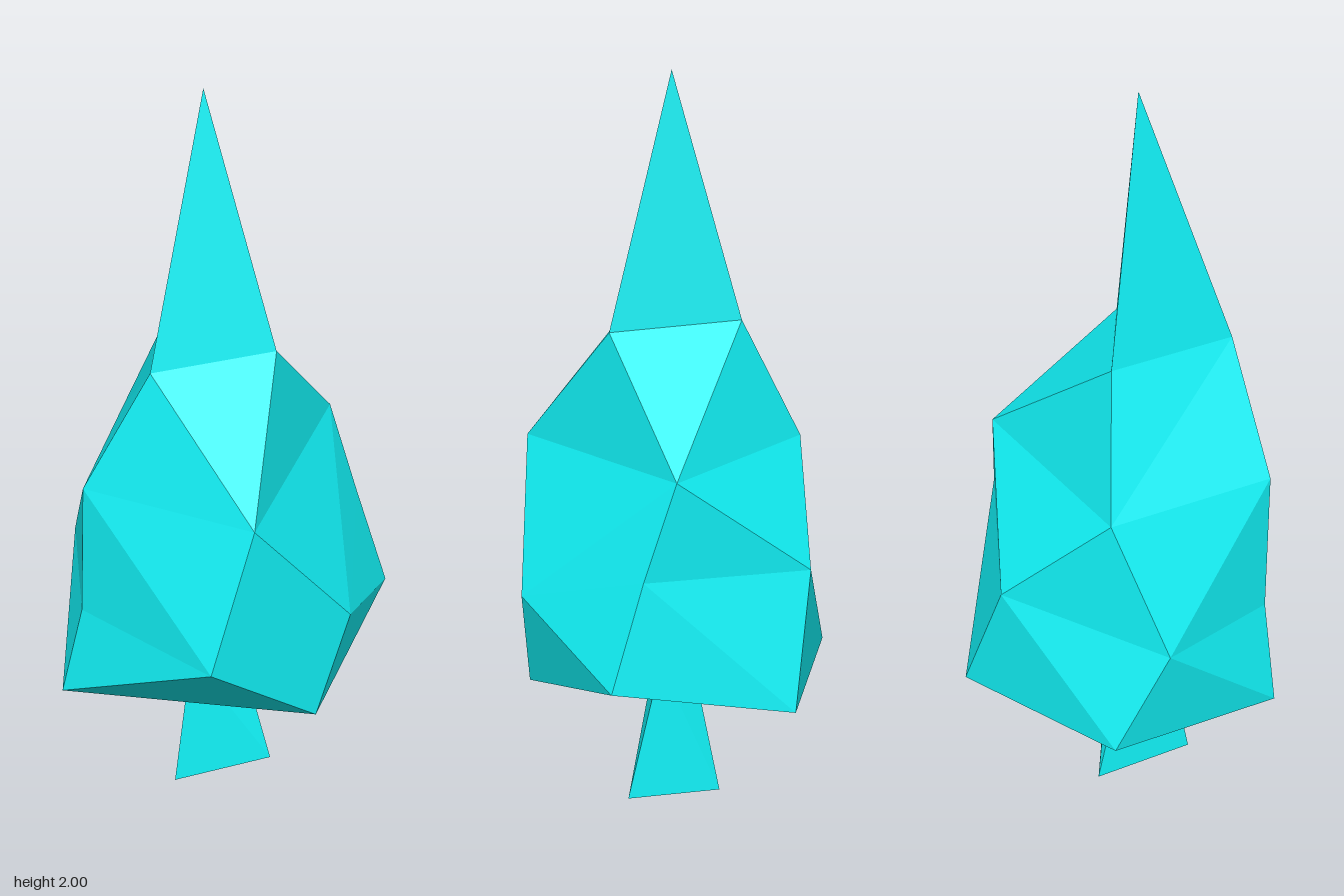
import * as THREE from 'three';

// Joins two closed rings (both running front, +x, back, -x) with triangles.
// steps: 'u' moves along the upper ring, 'l' along the lower one.
function stitch(out, upper, lower, steps) {
  let u = 0, l = 0;
  for (const s of steps) {
    const a = upper[u % upper.length], b = lower[l % lower.length];
    const c = s === 'u' ? upper[++u % upper.length] : lower[++l % lower.length];
    out.push(...a, ...b, ...c);
  }
}

function facetedMesh(name, rings, bands, material) {
  const out = [];
  bands.forEach((steps, i) => stitch(out, rings[i], rings[i + 1], steps));
  const geometry = new THREE.BufferGeometry();
  geometry.setAttribute('position', new THREE.Float32BufferAttribute(out, 3));
  geometry.computeVertexNormals();
  const mesh = new THREE.Mesh(geometry, material);
  mesh.name = name;
  return mesh;
}

export function createModel() {
  const group = new THREE.Group();
  group.name = 'tree';
  const material = new THREE.MeshStandardMaterial({ color: 0x11f0f5, flatShading: true });

  // Foliage: pointed tip, three uneven rings widening downward, closed underside
  const foliage = [
    [[-0.05, 2, -0.01]],
    [[-0.24, 1.36, 0.14], [0.095, 1.36, 0.12], [-0.09, 1.365, -0.19]],
    [[-0.06, 1.02, 0.395], [0.345, 1.06, -0.11], [-0.185, 1.03, -0.34], [-0.405, 1.03, 0.07]],
    [[-0.18, 0.63, 0.415], [0.235, 0.67, 0.33], [0.405, 0.815, -0.04],
      [0.105, 0.76, -0.415], [-0.345, 0.68, -0.315], [-0.42, 0.65, 0.05]],
    [[0.14, 0.375, 0.345], [0.48, 0.54, 0.025], [0.25, 0.42, -0.405],
      [-0.245, 0.4, -0.415], [-0.48, 0.375, 0.02]],
    [[0.04, 0.37, 0]],
  ];
  group.add(facetedMesh('foliage', foliage,
    ['lll', 'ululull', 'lullulullu', 'ululululuul', 'uuuuu'], material));

  // Trunk: three-sided, flaring to the ground
  const trunk = [
    [[-0.115, 0.41, 0.04], [0.035, 0.41, 0], [-0.06, 0.41, -0.065]],
    [[-0.18, 0.02, 0.08], [0.115, 0.02, 0.075], [-0.02, 0, -0.16]],
    [[-0.03, 0.013, 0]],
  ];
  group.add(facetedMesh('trunk', trunk, ['lululu', 'uuu'], material));

  return group;
}
